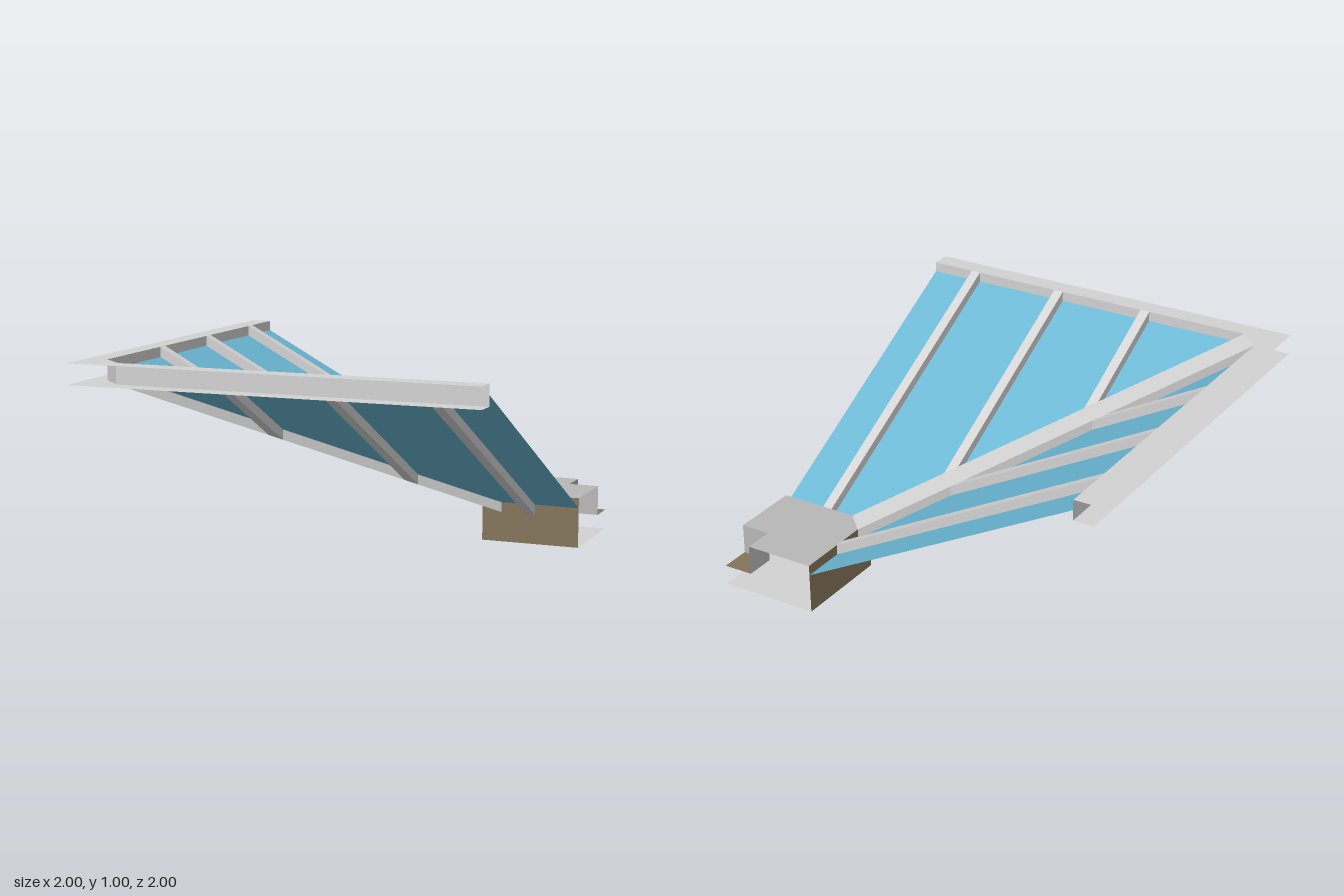
import * as THREE from 'three';

const mat = (name, color) => {
  const m = new THREE.MeshStandardMaterial({ color, side: THREE.DoubleSide });
  m.name = name;
  return m;
};

export function createModel() {
  const root = new THREE.Group();
  root.name = 'glazedRoofCorner';
  const frame = mat('light grey frame', 0xd2d2d2);
  const cap = mat('mid grey cap', 0xb8b8b8);
  const glass = mat('blue glass', 0x69b5d2);
  const stone = mat('brown base', 0x84745a);

  // Thin sheets made of convex faces; each face is a loop of [x, y, z] points
  const sheet = (parent, name, material, ...loops) => {
    const pos = [];
    for (const p of loops)
      for (let i = 1; i < p.length - 1; i++) pos.push(...p[0], ...p[i], ...p[i + 1]);
    const geo = new THREE.BufferGeometry();
    geo.setAttribute('position', new THREE.Float32BufferAttribute(pos, 3));
    geo.computeVertexNormals();
    const mesh = new THREE.Mesh(geo, material);
    mesh.name = name;
    parent.add(mesh);
  };

  const slope = 0.75 / 1.4;
  const roofTop = (z) => 1 - (0.9 - z) * slope; // upper face of the bars
  const depth = 0.1;

  // The two wings mirror each other across the diagonal x = -z
  for (const mirrored of [false, true]) {
    const wing = new THREE.Group();
    wing.name = mirrored ? 'rightWing' : 'frontWing';
    root.add(wing);
    const at = (x, y, z) => (mirrored ? [-z, y, -x] : [x, y, z]);
    const flat = (y, outline) => outline.map(([x, z]) => at(x, y, z));
    const sloped = (drop, outline) => outline.map(([x, z]) => at(x, roofTop(z) - drop, z));
    const upright = ([x0, z0], [x1, z1], lo, hi) =>
      [at(x0, lo, z0), at(x1, lo, z1), at(x1, hi, z1), at(x0, hi, z0)];
    const slopedSide = (a, b) => [...sloped(0, [a, b]), ...sloped(depth, [b, a])];

    // Outer rim: open channel with top, bottom and inner wall
    const rim = [[-0.8, 0.9], [-0.85, 0.85], [-1, 1], [1, 1], [1, 0.9]];
    sheet(wing, 'rim', frame, flat(1, rim), flat(0.9, rim),
      upright([-0.8, 0.9], [1, 0.9], 0.9, 1));

    // Glass pane halfway down the bars
    sheet(wing, 'glassPane', glass,
      sloped(depth / 2, [[1, 0.9], [-0.8, 0.9], [0.6, -0.5], [1, -0.5]]));

    // Glazing bars, cut off at the hip beam or the base
    for (const x of [-0.25, 0.25, 0.75]) {
      const a = x - 0.025, b = x + 0.025;
      const end = (v) => Math.max(-0.5, 0.1 - v);
      const outline = [[a, 0.9], [b, 0.9], [b, end(b)], [a, end(a)]];
      sheet(wing, 'glazingBar', frame, sloped(0, outline), sloped(depth, outline),
        slopedSide(outline[0], outline[3]), slopedSide(outline[1], outline[2]));
    }

    // Side of the hip beam
    sheet(wing, 'hipBeamSide', frame, slopedSide([-0.8, 0.9], [0.6, -0.5]));

    // Base: wall, capping and recess wall
    sheet(wing, 'baseWall', stone, upright([0.5, -0.5], [1, -0.5], 0, 0.25));
    sheet(wing, 'baseCap', cap,
      flat(0.25, [[0.55, -0.55], [0.6, -0.5], [1, -0.5], [1, -0.85], [0.85, -0.85]]),
      upright([0.85, -0.85], [1, -0.85], 0.1, 0.25));
  }

  // Hip beam top and underside along the diagonal
  const hip = (y) => [
    [-0.8, 1 - y, 0.9], [-0.9, 1 - y, 0.8], [0.5, 0.25 - y, -0.6], [0.6, 0.25 - y, -0.5],
  ];
  sheet(root, 'hipBeam', frame, hip(0), hip(depth));

  // Base floor and the recess floor in its inner corner
  const square = (a, b, y) => [[a, y, -a], [b, y, -a], [b, y, -b], [a, y, -b]];
  sheet(root, 'baseFloor', frame, square(0.5, 1, 0));
  sheet(root, 'recessFloor', stone, square(0.85, 1, 0.1));
  return root;
}
